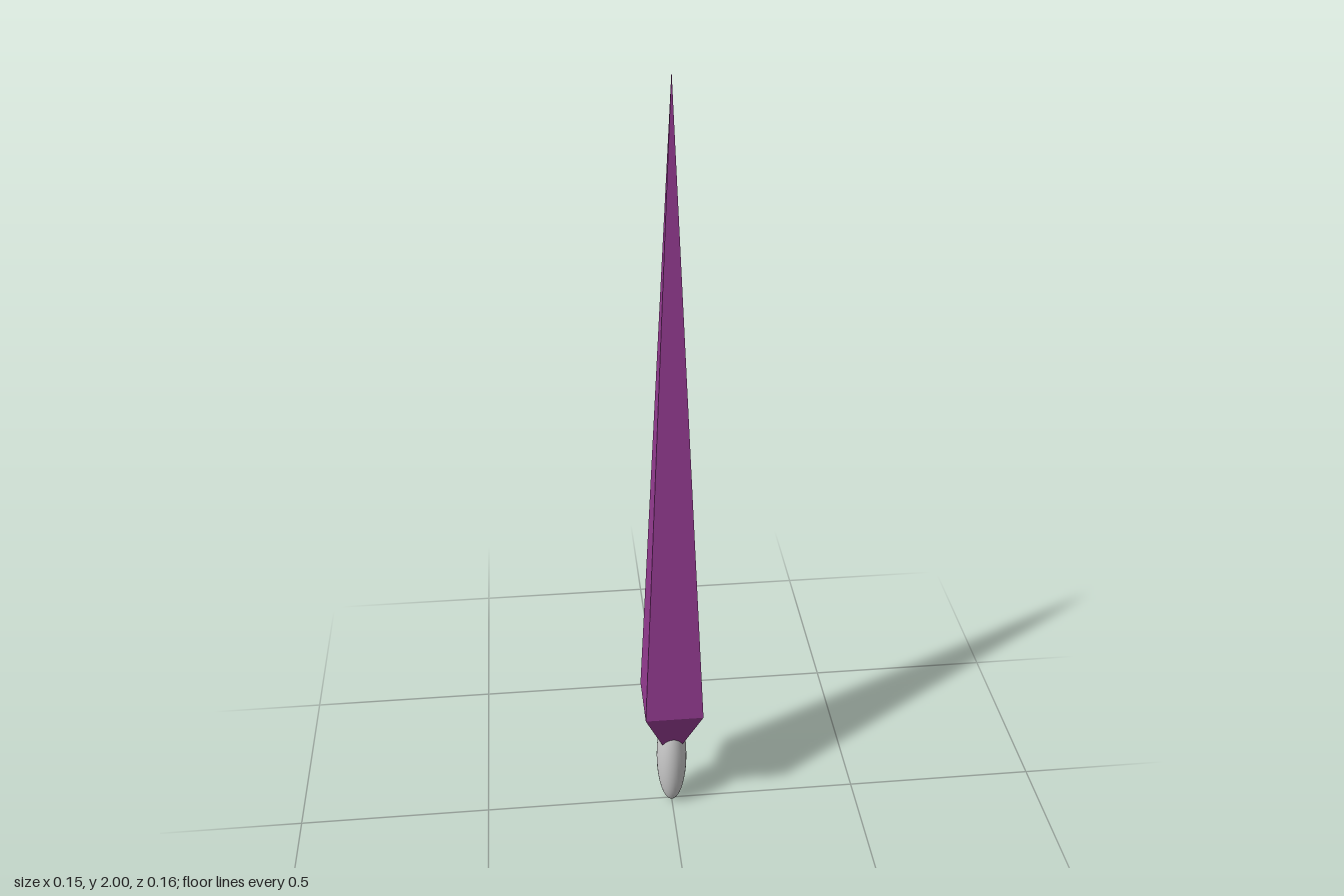
import * as THREE from 'three';

export function createModel() {
  const model = new THREE.Group();

  // Four-sided blade: long taper to the tip, short taper down into the handle
  const profile = [[0, 0.14], [Math.SQRT2, 0.34], [0, 2]].map(([r, y]) => new THREE.Vector2(r, y));
  const bladeGeometry = new THREE.LatheGeometry(profile, 4, Math.PI / 4);
  bladeGeometry.scale(0.075, 1, 0.081);
  const blade = new THREE.Mesh(
    bladeGeometry,
    new THREE.MeshStandardMaterial({ color: 0x953b92, flatShading: true })
  );
  blade.name = 'blade';
  model.add(blade);

  // Smooth egg-shaped handle around the blade's lower point
  const handleGeometry = new THREE.SphereGeometry(1, 32, 24);
  handleGeometry.scale(0.04, 0.15, 0.047);
  const handle = new THREE.Mesh(handleGeometry, new THREE.MeshStandardMaterial({ color: 0xcccccc }));
  handle.name = 'handle';
  handle.position.y = 0.15;
  model.add(handle);

  return model;
}
